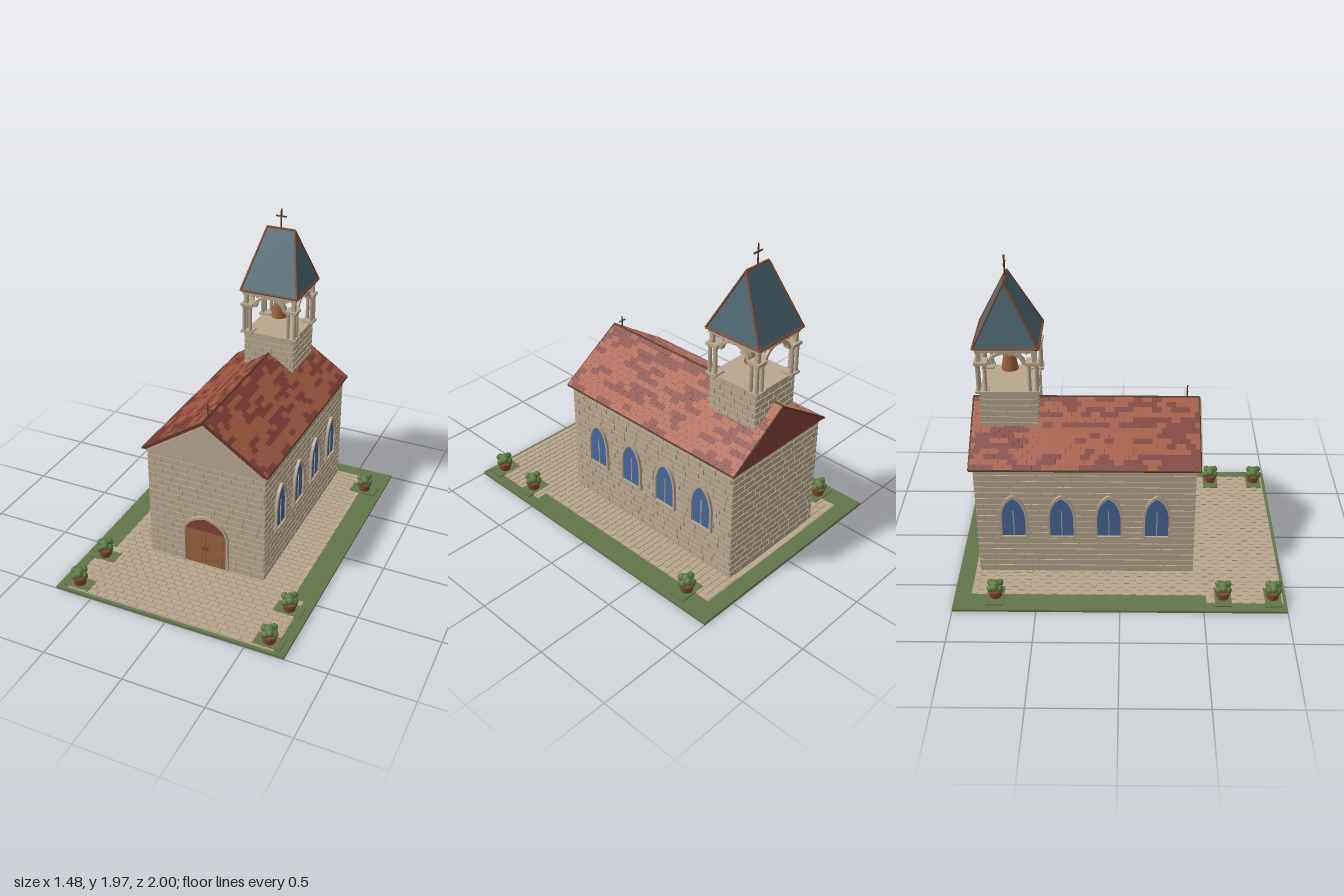
import * as THREE from 'three';
import { mergeGeometries } from 'three/addons/utils/BufferGeometryUtils.js';

const mat = (name, color) => {
  const m = new THREE.MeshStandardMaterial({ color });
  m.name = name;
  return m;
};

export function createModel() {
  const stone = mat('stone', 0xb8a790), tileLight = mat('lightTile', 0xa75a43), tileDark = mat('darkTile', 0x82403a);
  const slate = mat('slate', 0x4b6670), glass = mat('blueGlass', 0x44689c), wood = mat('wood', 0x98623c);
  const trim = mat('darkTrim', 0x5a3a26), grass = mat('grass', 0x63754a), leaf = mat('leaf', 0x5c7840), clay = mat('clay', 0x7d4a30);
  const model = new THREE.Group();

  let seed = 7;
  const rand = () => (seed = (seed * 16807) % 2147483647) / 2147483647;

  const add = (name, geo, material, parent = model) => {
    const m = new THREE.Mesh(geo, material);
    m.name = name;
    parent.add(m);
    return m;
  };
  const group = (name, x = 0, y = 0, z = 0, parent = model) => {
    const g = new THREE.Group();
    g.name = name;
    g.position.set(x, y, z);
    parent.add(g);
    return g;
  };
  const box = (w, h, d, x, y, z) => new THREE.BoxGeometry(w, h, d).translate(x, y, z);
  // round bar between two points
  const bar = (a, b, r, sides = 6) => {
    const p = new THREE.Vector3(...a), q = new THREE.Vector3(...b), d = q.clone().sub(p);
    const g = new THREE.CylinderGeometry(r, r, d.length(), sides);
    g.applyQuaternion(new THREE.Quaternion().setFromUnitVectors(new THREE.Vector3(0, 1, 0), d.normalize()));
    const c = p.add(q).multiplyScalar(0.5);
    return g.translate(c.x, c.y, c.z);
  };
  const extrude = (shape, depth) => new THREE.ExtrudeGeometry(shape, { depth, bevelEnabled: false, curveSegments: 10 });

  // running-bond bricks standing proud of the four sides of a block
  const brickwork = (name, w, d, y0, y1, courses, len, cz, parent) => {
    const list = [], h = (y1 - y0) / courses, gap = 0.007, t = 0.01;
    for (let side = 0; side < 4; side++) {
      const width = side % 2 ? d : w, dist = (side % 2 ? w : d) / 2;
      for (let c = 0; c < courses; c++) {
        let u = -width / 2;
        let next = u + len * (c % 2 ? 0.5 : 1);
        while (u < width / 2 - 0.005) {
          const e = Math.min(next, width / 2);
          const b = box(Math.max(e - u - gap, 0.004), h - gap, t, (u + e) / 2, y0 + (c + 0.5) * h, dist - t / 2);
          list.push(b.rotateY(side * Math.PI / 2).translate(0, 0, cz));
          u = e;
          next = u + len * (0.8 + 0.4 * rand());
        }
      }
    }
    add(name, mergeGeometries(list), stone, parent);
  };

  // grounds
  add('lawn', box(1.48, 0.014, 2, 0, 0.007, 0), grass);
  add('pavingBed', mergeGeometries([box(1.2, 0.004, 1.42, 0, 0.015, -0.19), box(1.34, 0.004, 0.46, 0, 0.015, 0.75)]), stone);
  const cobbles = [];
  for (let r = 0; r < 47; r++) {
    const z = -0.88 + r * 0.04, half = z > 0.53 ? 0.67 : 0.6;
    for (let x = -half + (r % 2) * 0.035; x < half - 0.03; x += 0.067) {
      const x1 = Math.min(x + 0.06, half);
      if (Math.abs(x) < 0.3 && z < 0.4) continue;
      cobbles.push(box(x1 - x, 0.006, 0.033, (x + x1) / 2, 0.019, z));
    }
  }
  add('cobbles', mergeGeometries(cobbles), stone);

  // planters on grass patches
  for (const s of [-1, 1]) for (const z of [-0.75, 0.62, 0.92]) {
    const p = group('planter', s * 0.62, 0.02, z);
    add('grassPatch', box(0.17, 0.008, 0.1, 0, 0, 0), grass, p);
    add('pot', new THREE.CylinderGeometry(0.043, 0.036, 0.048, 12).translate(0, 0.026, 0), clay, p);
    add('potRim', new THREE.CylinderGeometry(0.048, 0.048, 0.01, 12).translate(0, 0.05, 0), clay, p);
    const lumps = [new THREE.IcosahedronGeometry(0.033, 1).translate(0, 0.084, 0)];
    for (let i = 0; i < 6; i++) {
      const a = i * Math.PI / 3;
      lumps.push(new THREE.IcosahedronGeometry(0.023, 1).translate(Math.cos(a) * 0.031, 0.07 + (i % 2) * 0.02, Math.sin(a) * 0.031));
    }
    add('bush', mergeGeometries(lumps), leaf, p);
  }

  // nave walls
  const W = 0.77, D = 1.32, CZ = -0.21;
  add('naveWalls', box(W - 0.012, 0.77, D - 0.012, 0, 0.4, CZ), stone);
  brickwork('naveBricks', W, D, 0.03, 0.78, 18, 0.1, CZ, model);

  // pointed arch outline
  const arch = (Type, w, y0, spring, apex) => {
    const s = new Type(), k = apex - (apex - spring) * 0.22;
    s.moveTo(-w, y0);
    s.lineTo(w, y0);
    s.lineTo(w, spring);
    s.quadraticCurveTo(w * 0.88, k, 0, apex);
    s.quadraticCurveTo(-w * 0.88, k, -w, spring);
    s.closePath();
    return s;
  };

  // side windows
  for (const s of [-1, 1]) for (const z of [0.22, -0.07, -0.355, -0.645]) {
    const g = group('window', s * 0.384, 0, z);
    g.rotation.y = s * Math.PI / 2;
    const frame = arch(THREE.Shape, 0.084, 0.29, 0.44, 0.6);
    frame.holes.push(arch(THREE.Path, 0.07, 0.302, 0.44, 0.578));
    add('windowFrame', extrude(frame, 0.018), stone, g);
    add('windowGlass', extrude(arch(THREE.Shape, 0.072, 0.3, 0.44, 0.58), 0.005), glass, g);
    add('mullion', box(0.006, 0.18, 0.008, 0, 0.392, 0.006), stone, g);
  }

  // entrance
  const door = group('entrance', 0, 0, 0.449);
  const surround = arch(THREE.Shape, 0.152, 0.03, 0.26, 0.392);
  surround.holes.push(arch(THREE.Path, 0.138, 0.031, 0.26, 0.373));
  add('doorSurround', extrude(surround, 0.018), stone, door);
  add('tympanum', extrude(arch(THREE.Shape, 0.14, 0.26, 0.262, 0.374), 0.006), tileDark, door);
  for (const s of [-1, 1]) {
    add('doorLeaf', box(0.137, 0.245, 0.008, s * 0.07, 0.153, 0.005), wood, door);
    for (const y of [0.09, 0.21]) add('doorPanel', box(0.09, 0.085, 0.004, s * 0.07, y, 0.01), wood, door);
    add('doorKnob', new THREE.SphereGeometry(0.008, 10, 8).translate(s * 0.014, 0.157, 0.017), trim, door);
  }

  // nave roof
  const roof = group('naveRoof'), EX = 0.405, EY = 0.783, RY = 1.05, Z0 = -0.89, Z1 = 0.472;
  const tri = (x, y0, y1) => new THREE.Shape([new THREE.Vector2(-x, y0), new THREE.Vector2(x, y0), new THREE.Vector2(0, y1)]);
  add('roofBody', extrude(tri(EX, EY - 0.004, RY), Z1 - Z0).translate(0, 0, Z0), tileDark, roof);
  add('frontGable', extrude(tri(0.375, 0.782, 1.033), 0.03).translate(0, 0, 0.458), stone, roof);
  const rows = 14, cols = 24, pitch = Math.atan2(RY - EY, EX), rowLen = Math.hypot(EX, RY - EY) / rows, colLen = (Z1 - Z0) / cols;
  const lights = [], darks = [];
  for (const s of [-1, 1]) for (let r = 0; r < rows; r++) {
    let dark = false;
    for (let c = 0; c <= cols; c++) {
      if (rand() < 0.7) dark = rand() < 0.42;
      const a = Math.max(Z0, Z0 + (c - (r % 2) * 0.5) * colLen), b = Math.min(Z1, Z0 + (c + 1 - (r % 2) * 0.5) * colLen);
      if (b - a < 0.01) continue;
      const t = (r + 0.5) / rows, g = box(rowLen - 0.001, 0.01, b - a - 0.001, 0, 0, 0);
      g.rotateZ(-s * (pitch + 0.08)).translate(s * t * EX, RY + (EY - RY) * t + 0.003, (a + b) / 2);
      (dark ? darks : lights).push(g);
    }
  }
  add('lightTiles', mergeGeometries(lights), tileLight, roof);
  add('darkTiles', mergeGeometries(darks), tileDark, roof);
  const edges = [bar([0, RY + 0.005, Z0], [0, RY + 0.005, Z1], 0.008)];
  for (const s of [-1, 1]) {
    edges.push(bar([s * EX, EY, Z0], [s * EX, EY, Z1], 0.007));
    for (const z of [Z0, Z1]) edges.push(bar([s * EX, EY, z], [0, RY + 0.003, z], 0.007));
  }
  add('roofTrim', mergeGeometries(edges), trim, roof);

  const cross = (name, y0, y1, armY, arm, r, z) => add(name, mergeGeometries([
    bar([0, y0, z], [0, y1, z], r), bar([-arm, armY, z], [arm, armY, z], r)]), trim);
  cross('gableCross', 1.04, 1.137, 1.105, 0.025, 0.004, 0.4);

  // bell tower
  const tower = group('bellTower', 0, 0, -0.66);
  add('towerBase', box(0.328, 0.28, 0.328, 0, 1.035, 0), stone, tower);
  brickwork('towerBricks', 0.34, 0.34, 0.93, 1.175, 6, 0.08, 0, tower);
  add('towerFloor', box(0.34, 0.01, 0.34, 0, 1.175, 0), stone, tower);
  for (const sx of [-1, 1]) for (const sz of [-1, 1]) {
    const c = group('cornerColumns', sx * 0.15, 0, sz * 0.15, tower);
    add('columnBase', box(0.078, 0.014, 0.078, 0, 1.184, 0), stone, c);
    add('capital', box(0.078, 0.018, 0.078, 0, 1.37, 0), stone, c);
    for (const [x, z] of [[1, 1], [-1, 1], [1, -1]]) {
      const px = sx * x * 0.021, pz = sz * z * 0.021;
      add('column', new THREE.CylinderGeometry(0.011, 0.012, 0.18, 12).translate(px, 1.275, pz), stone, c);
      add('columnCollar', new THREE.CylinderGeometry(0.016, 0.013, 0.014, 12).translate(px, 1.355, pz), stone, c);
    }
    add('cornerPost', box(0.024, 0.075, 0.024, sx * 0.012, 1.41, sz * 0.012), stone, c);
  }
  const ring = new THREE.Shape();
  ring.absarc(0, 0, 0.11, 0, Math.PI, false);
  ring.absarc(0, 0, 0.09, Math.PI, 0, true);
  for (let i = 0; i < 4; i++) {
    const g = group('towerArch', 0, 0, 0, tower);
    g.rotation.y = i * Math.PI / 2;
    add('archRing', extrude(ring, 0.034).scale(1, 0.75, 1).translate(0, 1.361, 0.138), stone, g);
    add('beam', box(0.36, 0.024, 0.03, 0, 1.453, 0.165), stone, g);
    for (let k = -4; k <= 4; k++) add('dentil', box(0.014, 0.012, 0.02, k * 0.04, 1.437, 0.168), stone, g);
  }

  // bell
  add('bellRod', bar([0, 1.33, 0], [0, 1.47, 0], 0.006), trim, tower);
  add('bellBeam', bar([-0.165, 1.455, 0], [0.165, 1.455, 0], 0.008), trim, tower);
  add('bell', new THREE.CylinderGeometry(0.036, 0.052, 0.094, 16).translate(0, 1.297, 0), wood, tower);

  // hollow spire with a short ridge
  const spire = (w, top, ridge, flip) => {
    const g = new THREE.BoxGeometry(2, 1, 2), p = g.attributes.position, idx = Array.from(g.index.array);
    for (let i = 0; i < p.count; i++) {
      const up = p.getY(i) > 0;
      p.setXYZ(i, p.getX(i) * (up ? ridge : w) * flip, up ? top : 1.47, p.getZ(i) * (up ? 0.004 : w));
    }
    idx.splice(18, 6);
    g.setIndex(idx);
    g.clearGroups();
    g.computeVertexNormals();
    return g;
  };
  add('spire', spire(0.188, 1.84, 0.09, 1), slate, tower);
  add('spireLining', spire(0.182, 1.825, 0.086, -1), stone, tower);
  const hips = [bar([-0.092, 1.842, 0], [0.092, 1.842, 0], 0.008)];
  for (const s of [-1, 1]) {
    hips.push(bar([-0.19, 1.47, s * 0.19], [0.19, 1.47, s * 0.19], 0.007), bar([s * 0.19, 1.47, -0.19], [s * 0.19, 1.47, 0.19], 0.007));
    for (const z of [-1, 1]) hips.push(bar([s * 0.19, 1.47, z * 0.19], [s * 0.092, 1.842, 0], 0.007));
  }
  add('spireTrim', mergeGeometries(hips), clay, tower);
  cross('spireCross', 1.84, 1.97, 1.922, 0.035, 0.005, -0.66);

  return model;
}
